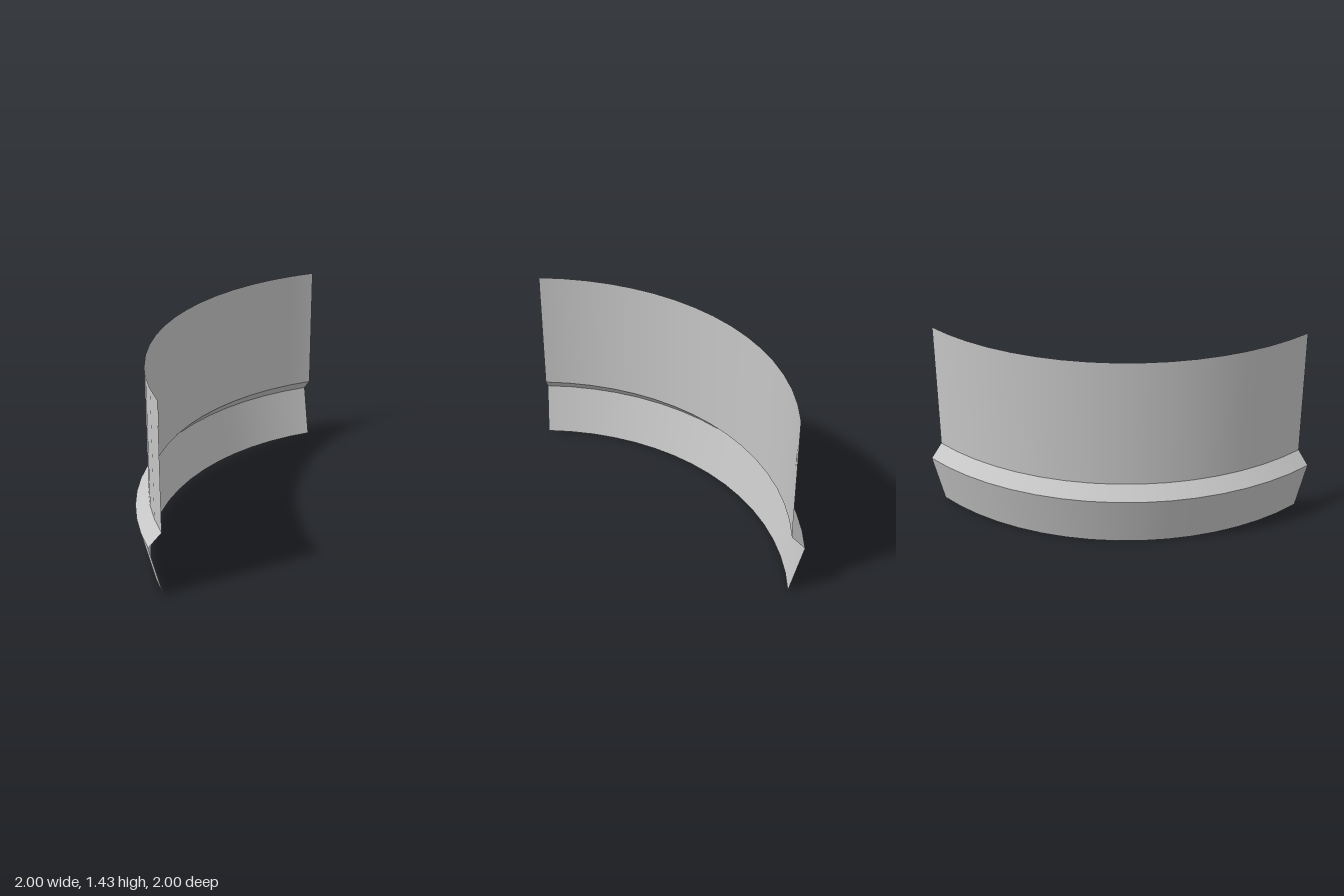
import * as THREE from 'three';

const SEGMENTS = 16;
const STEP = Math.PI / 2 / SEGMENTS;

export function createModel() {
  const group = new THREE.Group();
  group.name = 'quarterRoundPanel';
  const grey = new THREE.MeshStandardMaterial({ color: 0xc6c6c6, side: THREE.DoubleSide });
  grey.name = 'light grey';

  // Sweeps a two-point profile [radius, height] around the corner at x = 1, z = 1
  function band(name, bottom, top, first = 0, count = SEGMENTS) {
    const profile = [new THREE.Vector2(...bottom), new THREE.Vector2(...top)];
    const geometry = new THREE.LatheGeometry(profile, count, Math.PI * 1.5 - (first + count) * STEP, count * STEP);
    const mesh = new THREE.Mesh(geometry, grey);
    mesh.name = name;
    mesh.position.set(1, 0, 1);
    group.add(mesh);
  }

  // Flared base, sloping ledge and upright wall, kept apart for crisp edges
  band('flaredBase', [1.905, 0], [2, 0.385]);
  band('slopingLedge', [2, 0.385], [1.905, 0.48]);
  band('uprightWall', [1.905, 0.48], [1.905, 1.43]);

  // Small thin plates on the inside of the wall
  for (const first of [0, 8]) band('innerPlate', [1.901, 1.245], [1.901, 1.36], first, 1);

  return group;
}
